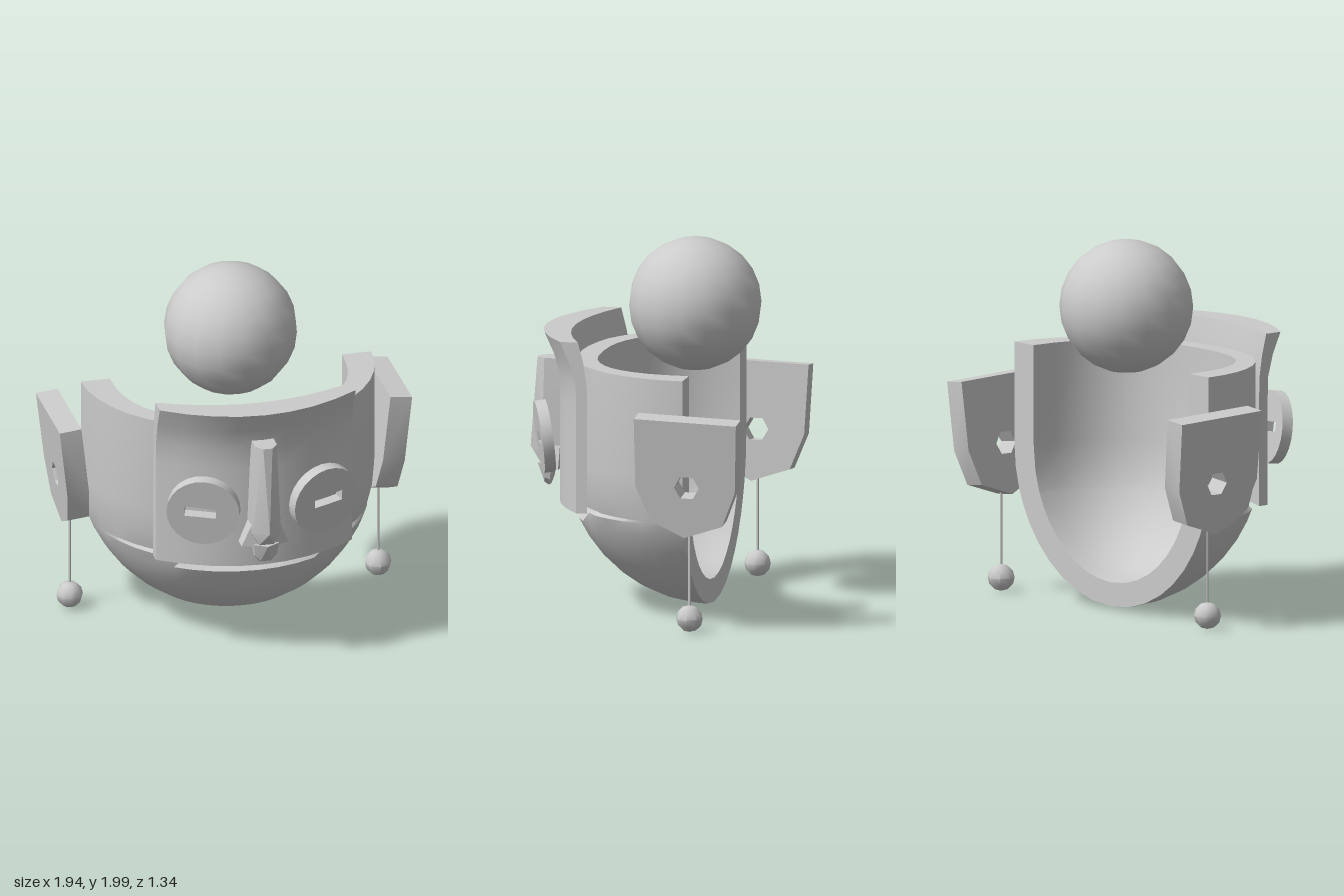
import * as THREE from 'three';
import { toCreasedNormals } from 'three/addons/utils/BufferGeometryUtils.js';
import { ConvexGeometry } from 'three/addons/geometries/ConvexGeometry.js';

const grey = new THREE.MeshStandardMaterial({ color: 0xcccccc, side: THREE.DoubleSide });

function add(parent, name, geometry, crease = 0.5) {
  const mesh = new THREE.Mesh(toCreasedNormals(geometry, crease), grey);
  mesh.name = name;
  parent.add(mesh);
  return mesh;
}

// Surface from point rule fn(i, j); faces outward along du x dv.
function grid(nu, nv, fn) {
  const pos = [], idx = [];
  for (let j = 0; j <= nv; j++) for (let i = 0; i <= nu; i++) pos.push(...fn(i, j));
  for (let j = 0; j < nv; j++) for (let i = 0; i < nu; i++) {
    const a = j * (nu + 1) + i, b = a + 1, c = a + nu + 1, d = c + 1;
    idx.push(a, b, d, a, d, c);
  }
  const g = new THREE.BufferGeometry();
  g.setAttribute('position', new THREE.Float32BufferAttribute(pos, 3));
  g.setIndex(idx);
  return g;
}

// Half-round head shell, open at the top and back, with a mouth notch
function buildHead() {
  const head = new THREE.Group();
  head.name = 'head';
  const levels = [0.02, 0.035, 0.07, 0.13, 0.2, 0.29, 0.39, 0.49, 0.56, 0.575, 0.58, 0.68, 0.82, 1.36];
  const limits = { 0.56: 0.25, 0.575: 0.25 }; // notch depth at the mouth
  const N = 20, M = levels.length - 1, back = -0.34;

  const wall = (w, ry, d, n, toY, cut) => (i, j) => {
    const a = (i / N - 0.5) * Math.PI, y = toY(levels[j]);
    const k = Math.sqrt(Math.max(0, 1 - (Math.max(0, 0.82 - y) / ry) ** 2));
    const s = Math.sin(a), c = Math.max(0, Math.cos(a));
    const x = w * k * Math.sign(s) * Math.abs(s) ** (2 / n);
    const z = back + d * k * c ** (2 / n);
    const limit = limits[levels[j]];
    return [x, y, limit === undefined ? z : Math.min(z, limit - cut)];
  };
  const outer = wall(0.8, 0.8, 0.8, 2, y => y, 0);
  const inner = wall(0.64, 0.67, 0.61, 2.5, y => (y < 0.49 ? 0.15 + (y - 0.02) * 0.34 / 0.47 : y), 0.02);

  // The upper wall is a little shallower than the chin
  const front = (i, j) => {
    const p = outer(i, j);
    if (levels[j] > 0.57) p[2] = back + (p[2] - back) * 0.94;
    return p;
  };
  add(head, 'outerWall', grid(N, M, front));
  add(head, 'innerWall', grid(N, M, (i, j) => inner(N - i, j)));
  add(head, 'topRim', grid(N, 1, (i, j) => (j ? inner(i, M) : front(i, M))));
  add(head, 'backRimLeft', grid(1, M, (i, j) => (i ? inner(N, j) : front(N, j))));
  add(head, 'backRimRight', grid(1, M, (i, j) => (i ? front(0, j) : inner(0, j))));
  return head;
}

// Curved face plate with a brow that flares forward
function plateGeometry() {
  const g = new THREE.BoxGeometry(1.08, 0.93, 1, 8, 8, 1);
  const p = g.attributes.position;
  for (let i = 0; i < p.count; i++) {
    const y = p.getY(i) + 1.035, q = (p.getX(i) / 0.54) ** 2;
    const t = Math.max(0, (y - 1.23) / 0.27) ** 1.6;
    const z = p.getZ(i) > 0 ? 0.49 - 0.19 * q + 0.09 * t : 0.37 - 0.13 * q + 0.05 * t;
    p.setXYZ(i, p.getX(i), y, z);
  }
  return g;
}

// Disc with a slit through it
function eyeGeometry() {
  const disc = new THREE.Shape().absarc(0, 0, 0.197, 0, Math.PI * 2, false);
  const slit = new THREE.Path();
  slit.moveTo(-0.07, -0.03).lineTo(-0.07, 0.025).lineTo(0.1, 0.035).lineTo(0.1, -0.025).closePath();
  disc.holes.push(slit);
  const g = new THREE.ExtrudeGeometry(disc, { depth: 0.06, bevelEnabled: false, curveSegments: 12 });
  return g.translate(0, 0, -0.03);
}

// Pointed ear slab with a hexagonal hole, centred on the hole
function earGeometry() {
  const outline = [[-0.11, 1.185], [-0.67, 1.165], [-0.655, 0.79], [-0.58, 0.6], [-0.37, 0.53], [-0.19, 0.62], [-0.11, 0.81]];
  const shape = new THREE.Shape(outline.map(([z, y]) => new THREE.Vector2(-z - 0.39, y - 0.81)));
  const hole = [];
  for (let i = 0; i < 6; i++) {
    const a = i * Math.PI / 3;
    hole.push(new THREE.Vector2(0.068 * Math.cos(a), 0.068 * Math.sin(a)));
  }
  shape.holes.push(new THREE.Path(hole));
  const g = new THREE.ExtrudeGeometry(shape, { depth: 0.12, bevelEnabled: false });
  return g.translate(0, 0, -0.06).rotateY(Math.PI / 2);
}

// Convex solid from points given on one side, mirrored in x
function symmetric(points) {
  return new ConvexGeometry(points.flatMap(([x, y, z]) =>
    [new THREE.Vector3(x, y, z), new THREE.Vector3(-x, y, z)]));
}

export function createModel() {
  const model = new THREE.Group();
  model.name = 'maskHead';
  model.add(buildHead());
  add(model, 'facePlate', plateGeometry(), 0.6);

  // Nose: ridge, nostril block and small tip
  const nose = new THREE.Group();
  nose.name = 'nose';
  model.add(nose);
  add(nose, 'noseBridge', symmetric([
    [0.06, 1.32, 0.47], [0.06, 1.32, 0.58], [0.025, 1.32, 0.625],
    [0.08, 0.83, 0.47], [0.08, 0.81, 0.59], [0, 0.83, 0.668], [0.07, 0.74, 0.5], [0.04, 0.74, 0.6]]), 0.3);
  add(nose, 'noseTip', symmetric([
    [0.07, 0.74, 0.54], [0.07, 0.74, 0.59], [0, 0.74, 0.63], [0.06, 0.66, 0.55],
    [0.06, 0.67, 0.58], [0.03, 0.625, 0.56], [0.03, 0.64, 0.585]]), 0.3);

  // Ball on the crown
  add(model, 'topBall', new THREE.SphereGeometry(0.36, 16, 12), 1).position.set(0, 1.64, -0.235);

  // Paired parts
  for (const side of [1, -1]) {
    const half = new THREE.Group();
    half.name = side > 0 ? 'leftSide' : 'rightSide';
    half.scale.x = side;
    model.add(half);

    const eye = add(half, 'eye', eyeGeometry());
    eye.position.set(0.33, 0.945, 0.52);
    eye.rotation.set(0.13, 0.32, 0);

    const wing = [[0.05, 0.9], [0.075, 0.86], [0.13, 0.725], [0.05, 0.725]].flatMap(([x, y]) =>
      [new THREE.Vector3(x, y, 0.49), new THREE.Vector3(x, y, 0.6 - x * 0.3)]);
    add(half, 'nostril', new ConvexGeometry(wing), 0.3);

    const ear = add(half, 'ear', earGeometry());
    ear.position.set(0.87, 0.81, -0.39);
    ear.rotation.z = -0.11;

    add(half, 'earringCord', new THREE.CylinderGeometry(0.007, 0.007, 0.45, 6)).position.set(0.85, 0.345, -0.39);
    add(half, 'earringBead', new THREE.SphereGeometry(0.073, 8, 6), 0.9).position.set(0.85, 0.08, -0.39);
  }
  return model;
}
